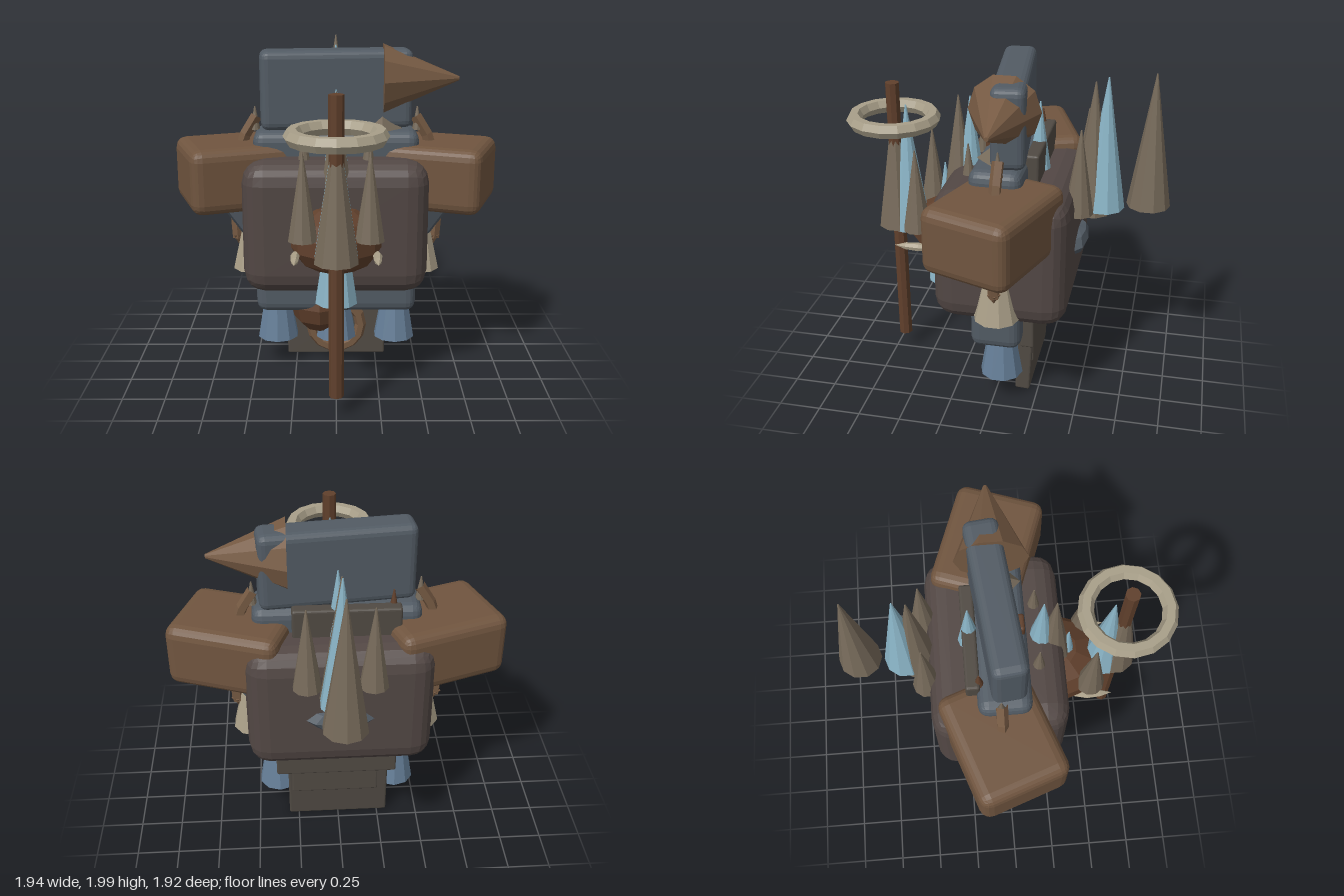
import * as THREE from 'three';
import { RoundedBoxGeometry } from 'three/addons/geometries/RoundedBoxGeometry.js';

const mat = (color) => new THREE.MeshStandardMaterial({ color, flatShading: true });
const M = {
  torso: mat(0x524744), steel: mat(0x525b64), shoulder: mat(0x70553f), snout: mat(0x765a43),
  skirt: mat(0x667f98), stone: mat(0x766a5a), ice: mat(0x8ab4c6), staff: mat(0x60402c),
  bone: mat(0xa89f89), panel: mat(0x504a43), belly: mat(0x60402c), ivory: mat(0xaa9f88),
};

export function createModel() {
  const root = new THREE.Group();

  const add = (name, geo, material, x, y, z) => {
    const m = new THREE.Mesh(geo, material);
    m.name = name;
    m.position.set(x, y, z);
    root.add(m);
    return m;
  };
  const block = (name, w, h, d, r, material, x, y, z) =>
    add(name, new RoundedBoxGeometry(w, h, d, 2, r), material, x, y, z);
  // Upright cone given by its tip height
  const spike = (name, material, x, tip, z, r = 0.125, h = 0.78) =>
    add(name, new THREE.CylinderGeometry(0.004, r, h, 10), material, x, tip - h / 2, z);

  // Body, chest armour and head
  block('body', 0.97, 1.12, 0.3, 0.06, M.steel, 0, 0.95, -0.02);
  block('chestArmour', 1.08, 0.79, 0.78, 0.13, M.torso, -0.005, 0.975, -0.045);
  block('head', 0.89, 0.46, 0.195, 0.045, M.steel, 0, 1.74, -0.04).rotation.y = 0.11;
  add('snout', new THREE.CylinderGeometry(0.012, 0.205, 0.445, 10), M.snout, 0.498, 1.8, -0.04)
    .rotation.z = -Math.PI / 2;
  add('jawTooth', new THREE.ConeGeometry(0.12, 0.1, 4), M.stone, 0.27, 1.56, 0.0);
  block('throat', 0.1, 0.14, 0.06, 0.015, M.staff, 0, 1.5, 0.09);
  block('neckPlate', 0.62, 0.3, 0.08, 0.015, M.panel, -0.05, 1.39, -0.19);
  spike('neckSpike', M.staff, -0.315, 1.62, -0.155, 0.03, 0.14);

  // Rounded belly with a pair of tusks
  add('belly', new THREE.SphereGeometry(0.275, 10, 7), M.belly, 0, 0.935, 0.32).scale.y = 0.73;
  const tuskProfile = [[0, -0.13], [0.027, -0.02], [0.022, 0.06], [0, 0.13]]
    .map(([r, y]) => new THREE.Vector2(r, y));

  for (const s of [-1, 1]) {
    // Shoulder pads, swept forward at the outer ends
    block('shoulder', 0.67, 0.385, 0.53, 0.065, M.shoulder, s * 0.585, 1.24, -0.045)
      .rotation.y = -s * 0.34;

    // Upper arms lean in under the shoulders
    add('upperArm', new THREE.CylinderGeometry(0.12, 0.12, 0.46, 8), M.steel, s * 0.52, 0.99, -0.02)
      .rotation.z = -s * 0.62;
    const strap = new THREE.CatmullRomCurve3([
      new THREE.Vector3(s * 0.47, 1.58, 0), new THREE.Vector3(s * 0.56, 1.42, 0),
      new THREE.Vector3(s * 0.61, 1.1, 0), new THREE.Vector3(s * 0.6, 0.82, 0),
    ]);
    add('armStrap', new THREE.TubeGeometry(strap, 6, 0.035, 5), M.snout, 0, 0, -0.045);
    add('strapCap', new THREE.ConeGeometry(0.04, 0.06, 5), M.snout, s * 0.6, 0.81, -0.045)
      .rotation.x = Math.PI;
    spike('strapSpike', M.stone, s * 0.48, 1.635, -0.045, 0.03, 0.14);
    add('cuff', new THREE.CylinderGeometry(0.03, 0.135, 0.45, 10), M.ivory, s * 0.5, 0.86, -0.04);

    add('tusk', new THREE.LatheGeometry(tuskProfile, 7), M.ivory, s * 0.23, 0.885, 0.515)
      .rotation.x = Math.PI / 2;

    // Side spikes on the front, chest and back
    spike('frontSideSpike', M.stone, s * 0.185, 1.485, 0.51, 0.085, 0.5);
    spike('chestSideSpike', M.stone, s * 0.185, 1.555, 0.19, 0.085, 0.5);
    spike('backSideSpike', M.stone, s * 0.185, 1.685, -0.45, 0.085, 0.5);
  }

  // Central row of spikes, front to back
  spike('frontStoneSpike', M.stone, 0, 1.7, 0.685);
  spike('frontIceSpike', M.ice, 0, 1.695, 0.61);
  spike('bellyIceSpike', M.ice, 0, 1.35, 0.38);
  spike('chestStoneSpike', M.stone, 0, 1.775, 0.29);
  spike('chestIceSpike', M.ice, 0, 1.775, 0.22);
  spike('neckIceSpike', M.ice, 0, 1.77, -0.19);
  spike('backStoneSpike', M.stone, 0, 1.905, -0.5);
  spike('backIceSpike', M.ice, 0, 1.935, -0.57);
  spike('rearStoneSpike', M.stone, 0, 1.97, -0.83);
  add('backStud', new THREE.SphereGeometry(1, 8, 4), M.steel, 0, 0.94, -0.43).scale.set(0.2, 0.07, 0.065);

  // Staff with its ring
  add('staff', new THREE.CylinderGeometry(0.042, 0.042, 1.7, 8), M.staff, 0, 0.975, 0.685);
  add('staffRing', new THREE.TorusGeometry(0.233, 0.045, 6, 16), M.bone, 0, 1.61, 0.685)
    .rotation.x = Math.PI / 2;

  // Flared leg skirts
  for (const x of [-0.365, 0, 0.365]) {
    add('legSkirt', new THREE.CylinderGeometry(0.08, 0.128, 0.28, 10), M.skirt, x, 0.315, -0.04);
  }
  add('hip', new THREE.SphereGeometry(0.19, 8, 6), M.belly, -0.1, 0.4, -0.04);
  add('tailRing', new THREE.TorusGeometry(0.155, 0.035, 6, 14), M.snout, 0, 0.245, -0.04);

  // Layered back panels
  block('upperPanel', 0.74, 0.4, 0.08, 0.012, M.panel, 0.01, 0.56, -0.195);
  block('middlePanel', 0.54, 0.5, 0.06, 0.012, M.panel, 0.02, 0.45, -0.19);
  block('lowerPanel', 0.62, 0.4, 0.09, 0.012, M.panel, 0, 0.205, -0.165).rotation.x = -0.05;

  return root;
}
